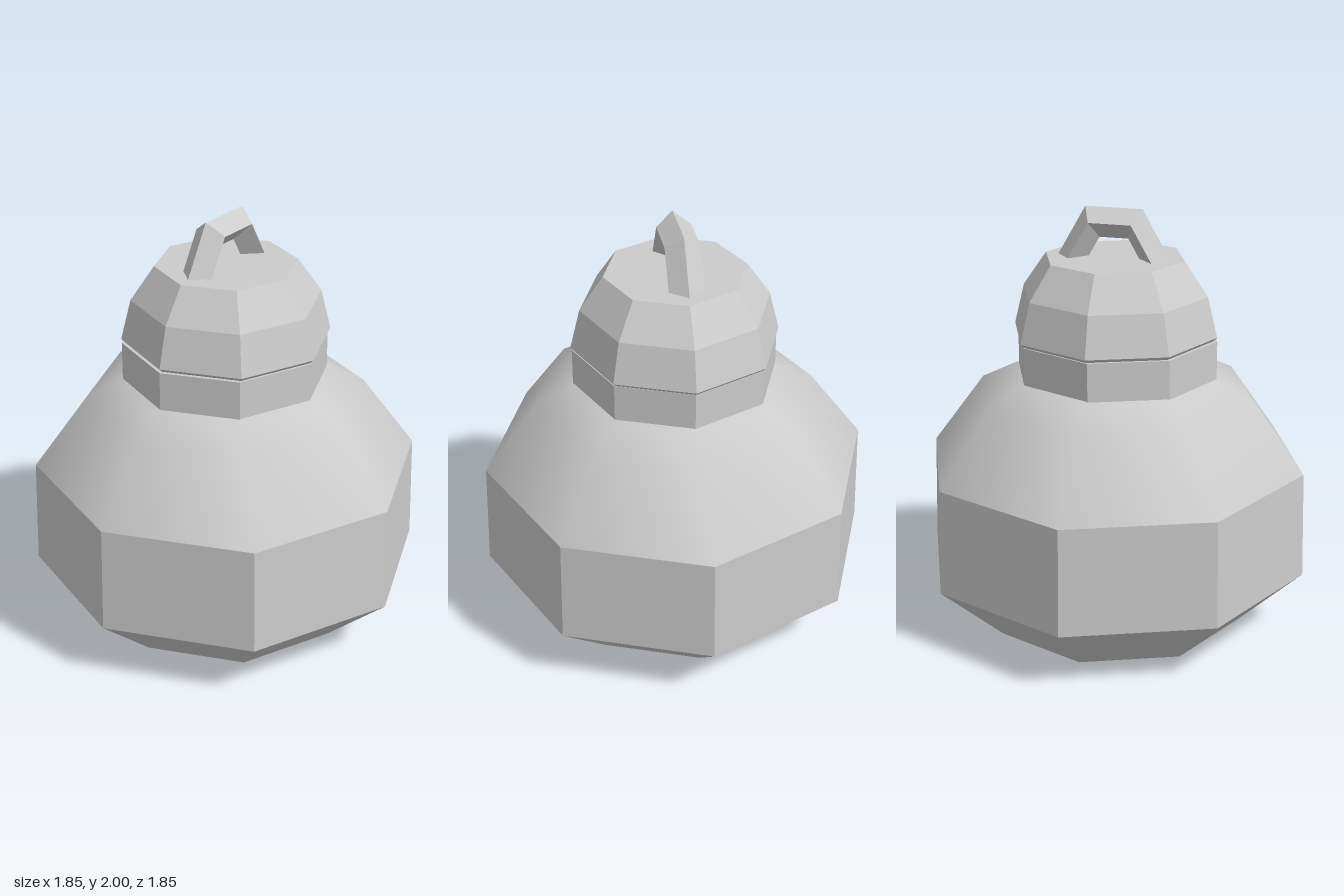
import * as THREE from 'three';

const SIDES = 8;
const flat = new THREE.MeshStandardMaterial({ color: 0xcccccc, flatShading: true });
const smooth = new THREE.MeshStandardMaterial({ color: 0xcccccc });

// Eight-sided turned part; profile rows are [radius, height] from bottom to top
function turned(name, profile, material = flat) {
  const points = profile.map(([r, y]) => new THREE.Vector2(r, y));
  const mesh = new THREE.Mesh(new THREE.LatheGeometry(points, SIDES), material);
  mesh.name = name;
  return mesh;
}

// Arched bar with a diamond section, mitred at its two upper corners
function createHandle() {
  const halfDepth = 0.08;
  // half widths and heights of the outer ridge, side edges and inner ridge
  const foot = { outer: [0.268, 1.765], side: [0.2, 1.765], inner: [0.122, 1.765] };
  const corner = { outer: [0.135, 2.0], side: [0.1, 1.94], inner: [0.068, 1.86] };
  const positions = [];
  for (const [station, sign] of [[foot, -1], [corner, -1], [corner, 1], [foot, 1]]) {
    const { outer, side, inner } = station;
    positions.push(sign * outer[0], outer[1], 0);
    positions.push(sign * side[0], side[1], halfDepth);
    positions.push(sign * inner[0], inner[1], 0);
    positions.push(sign * side[0], side[1], -halfDepth);
  }
  const index = [];
  for (let s = 0; s < 3; s++) {
    for (let k = 0; k < 4; k++) {
      const a = s * 4 + k;
      const b = s * 4 + ((k + 1) % 4);
      index.push(a, b, a + 4, b, b + 4, a + 4);
    }
  }
  const geometry = new THREE.BufferGeometry();
  geometry.setAttribute('position', new THREE.Float32BufferAttribute(positions, 3));
  geometry.setIndex(index);
  geometry.computeVertexNormals();
  const mesh = new THREE.Mesh(geometry, flat);
  mesh.name = 'handle';
  mesh.position.z = -0.012;
  return mesh;
}

export function createModel() {
  const group = new THREE.Group();
  group.name = 'liddedJar';

  // Faceted lower body with chamfered foot
  group.add(turned('body', [[0, 0], [0.61, 0], [0.923, 0.284], [0.91, 0.79]]));

  // Softly shaded shoulder
  group.add(turned('shoulder', [[0.91, 0.79], [0.655, 1.137], [0.475, 1.227]], smooth));

  // Neck, sitting slightly off centre
  const neck = turned('neck', [[0.48, 1.215], [0.48, 1.403], [0, 1.403]]);
  neck.position.x = -0.008;
  group.add(neck);

  // Stepped lid with a thin undercut rim
  group.add(turned('lid', [[0, 1.404], [0.472, 1.404], [0.487, 1.42], [0.44, 1.61], [0.33, 1.77], [0, 1.77]]));

  group.add(createHandle());
  return group;
}
